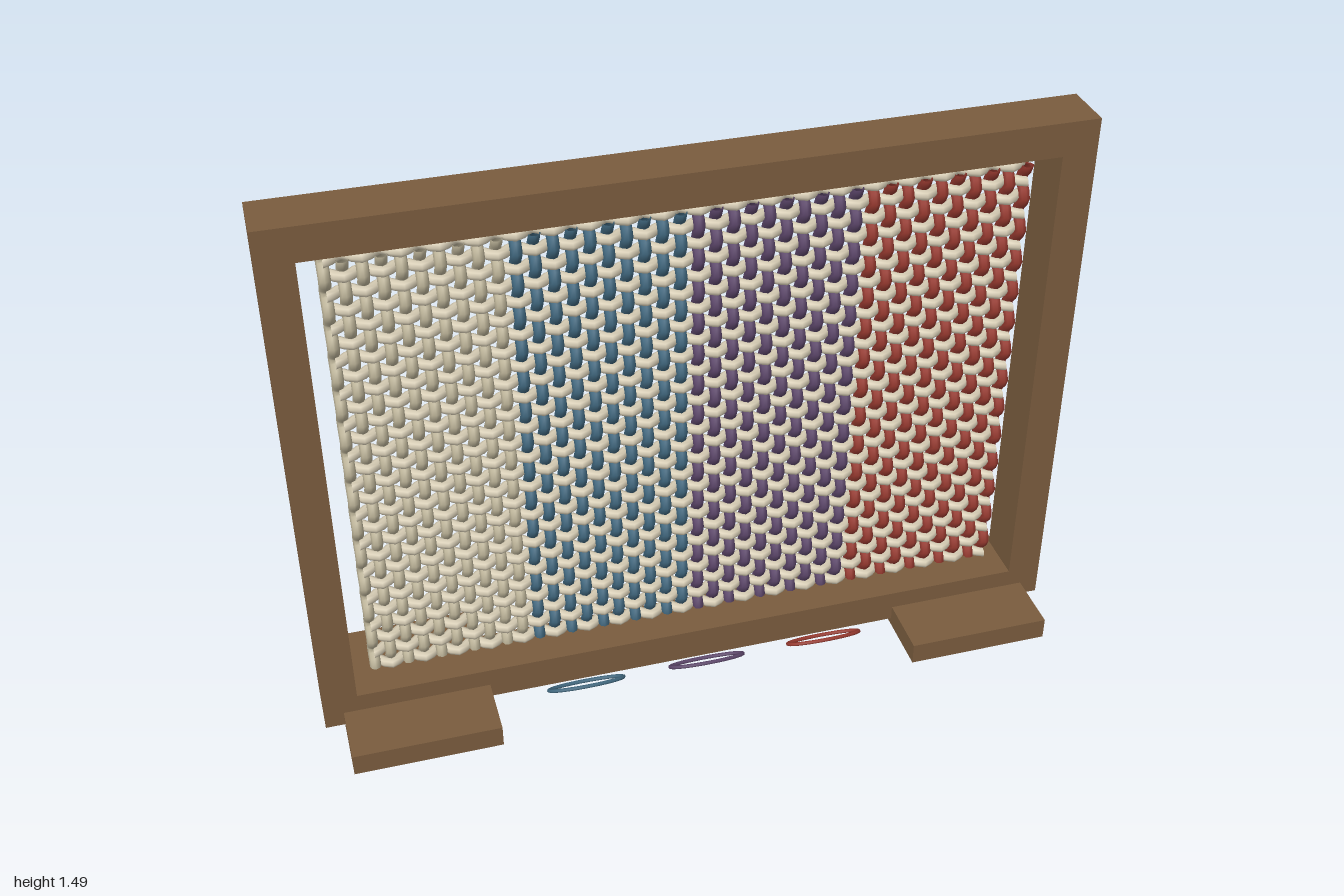
import * as THREE from 'three';

const mat = (name, color) => {
  const m = new THREE.MeshStandardMaterial({ color, side: THREE.DoubleSide });
  m.name = name;
  return m;
};

// Plain weave layout: threads cross on a regular grid
const WARPS = 40, WEFTS = 28;
const X = 0.85, Y0 = 0.15, Y1 = 1.36;
const WAVE = 0.014;

// Curve defined by a function of t
class PathCurve extends THREE.Curve {
  constructor(fn) { super(); this.fn = fn; }
  getPoint(t, target = new THREE.Vector3()) { return target.set(...this.fn(t)); }
}

export function createModel() {
  const model = new THREE.Group();
  const wood = mat('wood', 0x7a5c3e);
  const weftCream = mat('weft cream', 0xd6ccb4);
  const warpCream = mat('warp cream', 0xbdb499);
  const blue = mat('blue yarn', 0x40677e);
  const purple = mat('purple yarn', 0x5c466a);
  const red = mat('red yarn', 0x96392f);

  const add = (parent, name, geometry, material, x = 0, y = 0, z = 0) => {
    const mesh = new THREE.Mesh(geometry, material);
    mesh.name = name;
    mesh.position.set(x, y, z);
    parent.add(mesh);
  };

  // Wooden frame and feet
  const frame = new THREE.Group();
  frame.name = 'frame';
  model.add(frame);
  add(frame, 'topRail', new THREE.BoxGeometry(2, 0.09, 0.14), wood, 0, 1.445);
  add(frame, 'bottomRail', new THREE.BoxGeometry(2, 0.09, 0.14), wood, 0, 0.065);
  for (const [side, s] of [['left', 1], ['right', -1]]) {
    add(frame, side + 'Post', new THREE.BoxGeometry(0.09, 1.29, 0.14), wood, s * 0.955, 0.755);
    add(frame, side + 'Foot', new THREE.BoxGeometry(0.385, 0.06, 0.47), wood, s * 0.757, 0.03);
  }

  // Vertical warp threads in four colour bands, bending around each weft
  const cloth = new THREE.Group();
  cloth.name = 'wovenCloth';
  model.add(cloth);
  const bands = [warpCream, blue, purple, red];
  for (let i = 0; i < WARPS; i++) {
    const x = -X + (2 * X * i) / (WARPS - 1);
    const sign = i % 2 ? -1 : 1;
    const path = new PathCurve(t => [
      x, Y0 + (Y1 - Y0) * t, sign * WAVE * Math.cos(Math.PI * t * (WEFTS - 1))]);
    add(cloth, 'warpThread', new THREE.TubeGeometry(path, (WEFTS - 1) * 3, 0.0145, 8),
      bands[Math.floor(i / 10)]);
  }

  // Horizontal weft threads, opposite each warp at every crossing
  for (let j = 0; j < WEFTS; j++) {
    const y = Y0 + ((Y1 - Y0) * j) / (WEFTS - 1);
    const sign = j % 2 ? 1 : -1;
    const path = new PathCurve(t => [
      -X + 2 * X * t, y, sign * WAVE * Math.cos(Math.PI * t * (WARPS - 1))]);
    add(cloth, 'weftThread', new THREE.TubeGeometry(path, (WARPS - 1) * 3, 0.0135, 8), weftCream);
  }

  // Tilted loops of loose yarn in front of the bottom rail
  const loop = new PathCurve(t => {
    const a = t * Math.PI * 2;
    return [0.1 * Math.cos(a), 0.026 * Math.sin(a), 0.038 * Math.sin(a)];
  });
  const loopGeometry = new THREE.TubeGeometry(loop, 48, 0.005, 8, true);
  [blue, purple, red].forEach((m, i) =>
    add(model, 'yarnLoop', loopGeometry, m, (i - 1) * 0.327, 0.094, 0.17));

  return model;
}
